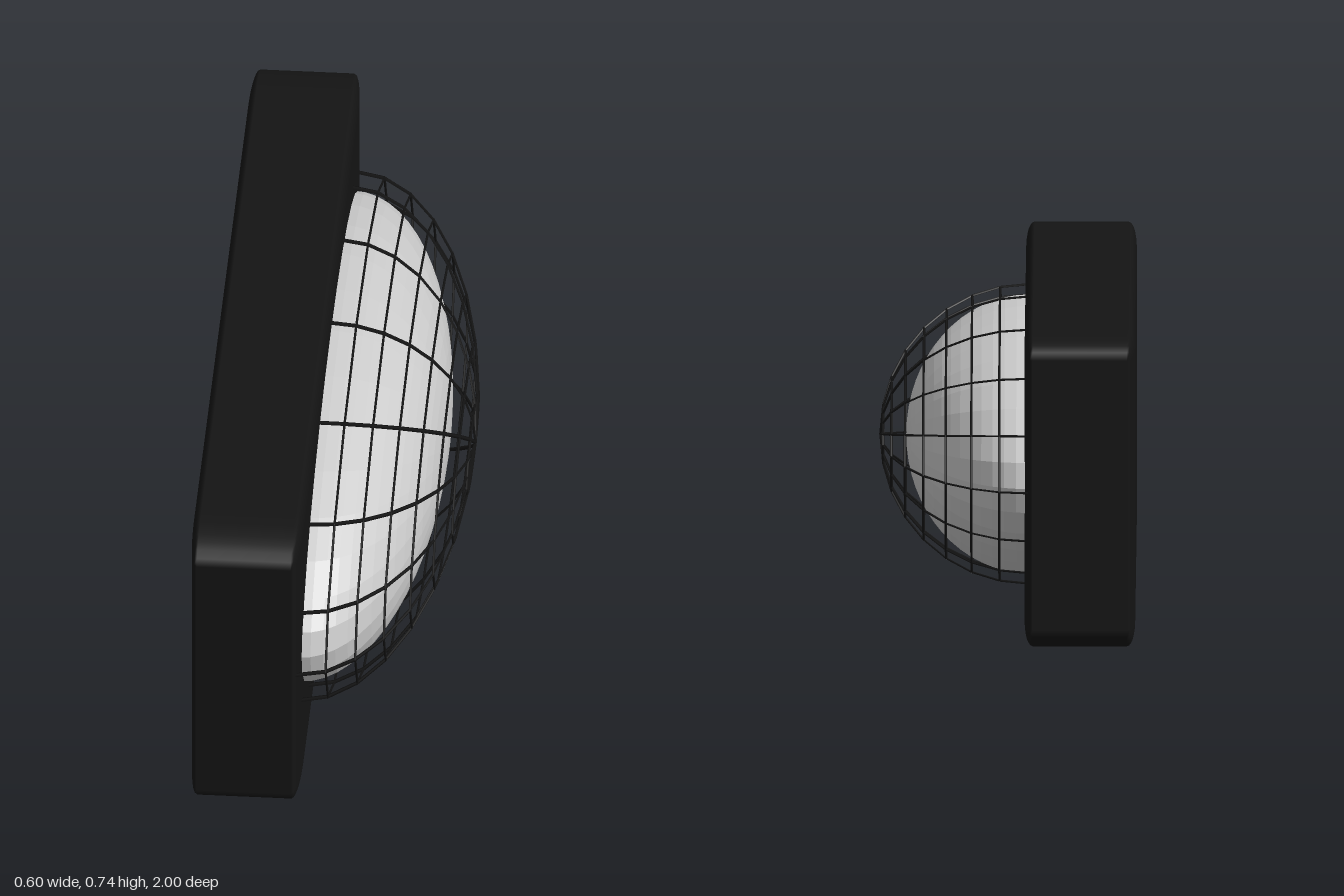
import * as THREE from 'three';
import { RoundedBoxGeometry } from 'three/addons/geometries/RoundedBoxGeometry.js';
import { mergeGeometries } from 'three/addons/utils/BufferGeometryUtils.js';

const MERIDIANS = 16, RINGS = 8, WIRE = 0.008;
const CENTRE = [-0.05, 0.372, 0];

// Point on a unit dome whose pole faces +x
function domePoint(ring, meridian) {
  const t = (ring / RINGS) * Math.PI / 2;
  const a = (meridian / MERIDIANS) * Math.PI * 2;
  return new THREE.Vector3(Math.cos(t), Math.sin(t) * Math.sin(a), Math.sin(t) * Math.cos(a));
}

// Straight square wire between two points
function wire(a, b) {
  const dir = b.clone().sub(a);
  const g = new THREE.CylinderGeometry(WIRE, WIRE, dir.length() + WIRE, 4, 1);
  const q = new THREE.Quaternion().setFromUnitVectors(new THREE.Vector3(0, 1, 0), dir.normalize());
  g.applyQuaternion(q);
  const mid = a.clone().add(b).multiplyScalar(0.5);
  return g.translate(mid.x, mid.y, mid.z);
}

export function createModel() {
  const group = new THREE.Group();
  const black = new THREE.MeshStandardMaterial({ color: 0x141414 });
  const grey = new THREE.MeshStandardMaterial({ color: 0xcccccc, flatShading: true });

  // Backing block: a rounded cube stretched to size, so its bevels stretch too
  const blockGeometry = new RoundedBoxGeometry(1, 1, 1, 3, 0.075);
  blockGeometry.scale(0.257, 0.743, 2);
  const block = new THREE.Mesh(blockGeometry, black);
  block.name = 'housing';
  block.position.set(-0.17, 0.3715, 0);
  group.add(block);

  // Faceted lens
  const lensGeometry = new THREE.SphereGeometry(1, 32, 16, 0, Math.PI * 2, 0, Math.PI / 2);
  lensGeometry.rotateZ(-Math.PI / 2).scale(0.285, 0.3, 0.9);
  const lens = new THREE.Mesh(lensGeometry, grey);
  lens.name = 'lens';
  lens.position.set(...CENTRE);
  group.add(lens);

  // Wire guard: meridians from the pole to the housing, crossed by rings
  const wires = [];
  for (let m = 0; m < MERIDIANS; m++) {
    for (let r = 0; r < RINGS; r++) {
      wires.push(wire(domePoint(r, m), domePoint(r + 1, m)));
      if (r > 0) wires.push(wire(domePoint(r, m), domePoint(r, m + 1)));
    }
  }
  const guardGeometry = mergeGeometries(wires);
  guardGeometry.scale(0.345, 0.322, 0.97);
  const guard = new THREE.Mesh(guardGeometry, black);
  guard.name = 'wireGuard';
  guard.position.set(...CENTRE);
  group.add(guard);

  return group;
}
